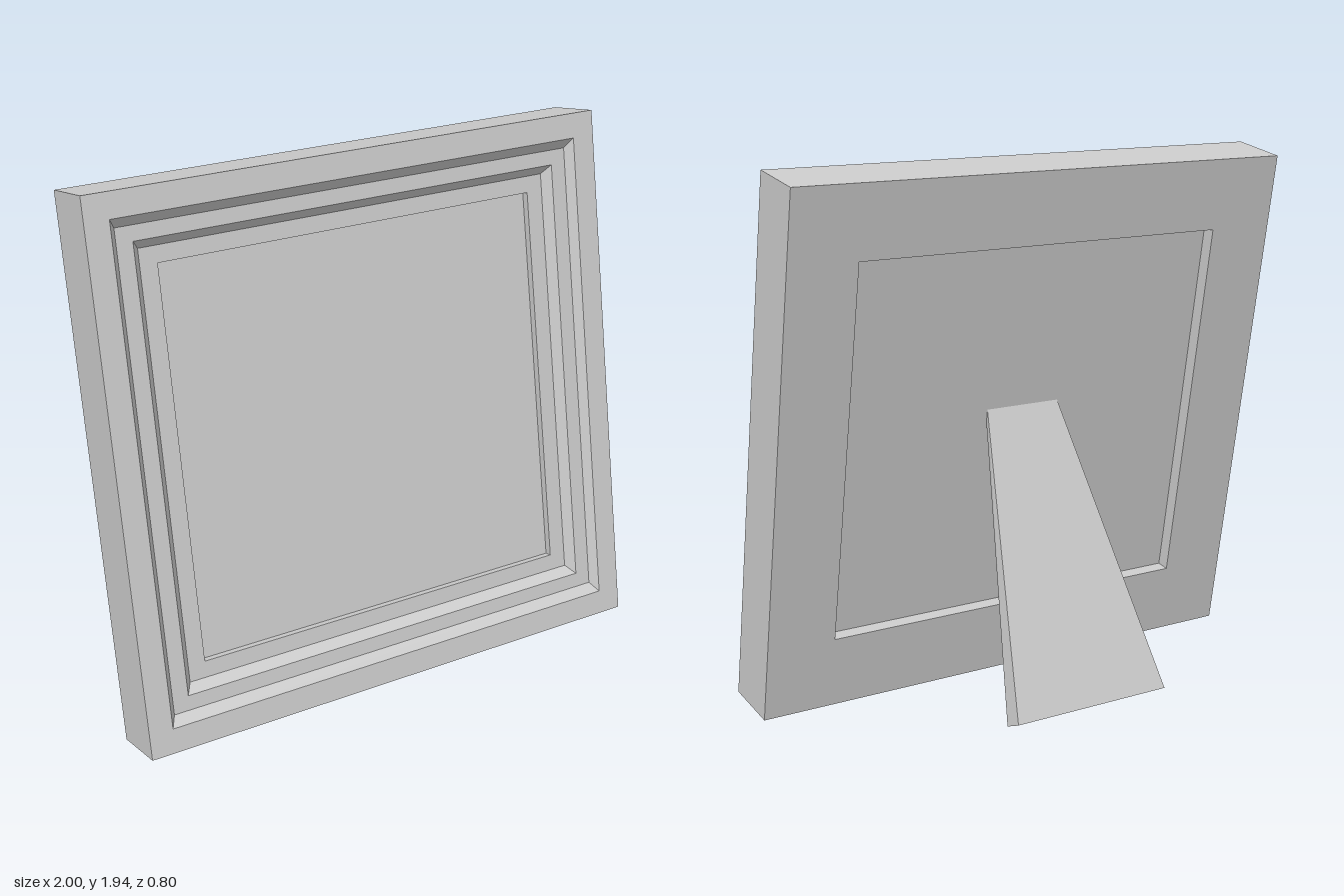
import * as THREE from 'three';

const material = new THREE.MeshStandardMaterial({ color: 0xcccccc, flatShading: true });
const HEIGHT = 1.927;
const DEPTH = 0.216;
const TILT = THREE.MathUtils.degToRad(10);

// Closed moulding section: [inset from the sides, inset from top and bottom, depth behind the front]
const MOULDING = [
  [0, 0, 0], [0.088, 0.089, 0],
  [0.112, 0.123, 0.03], [0.171, 0.176, 0.03],
  [0.198, 0.207, 0.063], [0.262, 0.266, 0.063],
  [0.262, 0.266, DEPTH], [0, 0, DEPTH],
];

function addMesh(parent, name, geometry) {
  const mesh = new THREE.Mesh(geometry, material);
  mesh.name = name;
  parent.add(mesh);
  return mesh;
}

// Carry the moulding section round the four mitred corners
function frameGeometry() {
  const signs = [[-1, -1], [1, -1], [1, 1], [-1, 1]];
  const corner = ([mx, my, d], k) => {
    const [sx, sy] = signs[k % 4];
    return [sx * (1 - mx), HEIGHT / 2 + sy * (HEIGHT / 2 - my), -d];
  };
  const positions = [];
  MOULDING.forEach((p, i) => {
    const q = MOULDING[(i + 1) % MOULDING.length];
    for (let k = 0; k < 4; k++) {
      const a = corner(p, k), b = corner(p, k + 1);
      const c = corner(q, k + 1), d = corner(q, k);
      positions.push(...a, ...b, ...c, ...a, ...c, ...d);
    }
  });
  const geometry = new THREE.BufferGeometry();
  geometry.setAttribute('position', new THREE.Float32BufferAttribute(positions, 3));
  geometry.computeVertexNormals();
  return geometry;
}

// Easel leg: a box widened and thickened towards the foot
function standGeometry() {
  const geometry = new THREE.BoxGeometry(1, 1, 1);
  const pos = geometry.attributes.position;
  for (let i = 0; i < pos.count; i++) {
    const top = pos.getY(i) > 0, front = pos.getZ(i) > 0;
    const half = top ? 0.15 : 0.317;
    const [y, z] = top
      ? (front ? [0.99, 0.0635] : [1.04, 0.056])
      : (front ? [0, -0.33] : [0.028, -0.4]);
    pos.setXYZ(i, Math.sign(pos.getX(i)) * half, y, z);
  }
  geometry.computeVertexNormals();
  return geometry;
}

export function createModel() {
  const model = new THREE.Group();
  model.name = 'pictureFrame';

  // Frame and picture panel lean back together
  const leaning = new THREE.Group();
  leaning.name = 'leaningFrame';
  leaning.rotation.x = -TILT;
  leaning.position.set(0, DEPTH * Math.sin(TILT), 0.4);
  model.add(leaning);

  addMesh(leaning, 'frameMoulding', frameGeometry());

  // Panel set back from both the front ledge and the rear face
  const panel = addMesh(leaning, 'picturePanel',
    new THREE.BoxGeometry(2 * (1 - 0.262), HEIGHT - 2 * 0.266, 0.076));
  panel.position.set(0, HEIGHT / 2, -0.128);

  addMesh(model, 'backStand', standGeometry());
  return model;
}
